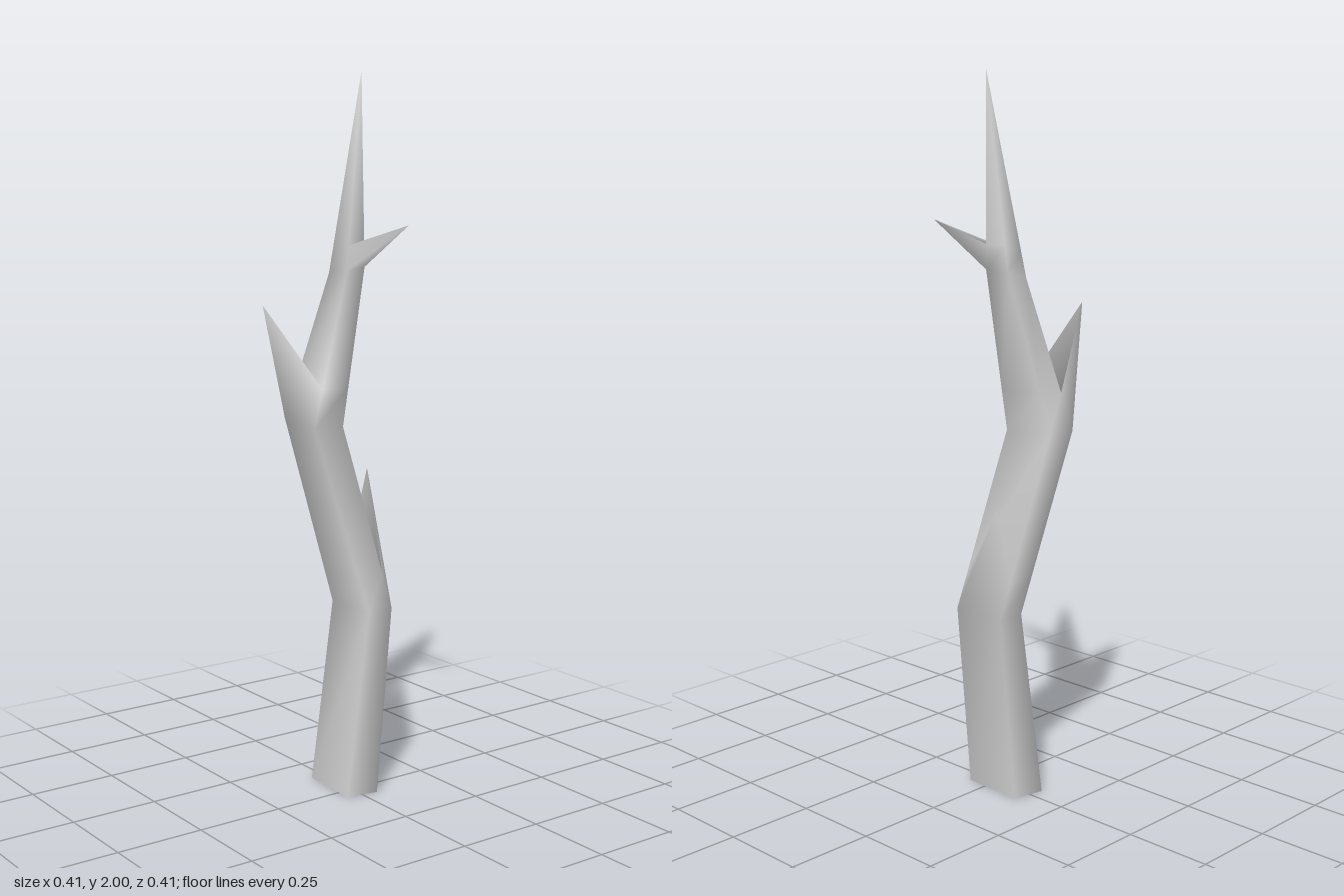
import * as THREE from 'three';

// Four-cornered cross-sections: front-left, front-right, back-right, back-left on the page
const RINGS = [
  [[-0.14, 0, 0.04], [0.042, 0, 0.045], [0.06, 0, -0.045], [-0.12, 0, -0.05]],
  [[-0.105, 0.53, -0.01], [0.065, 0.53, -0.012], [0.06, 0.53, -0.095], [-0.107, 0.53, -0.095]],
  [[-0.208, 1.05, 0.08], [-0.05, 1.04, 0.088], [-0.04, 1.04, 0], [-0.2, 1.05, 0]],
  [[-0.122, 1.46, -0.012], [-0.035, 1.47, -0.01], [-0.015, 1.48, -0.055], [-0.1, 1.48, -0.06]],
];
const TIP = [0.02, 2, -0.018];

// Each twig grows from one side of the limb just above a bend
const TWIGS = [
  { name: 'backTwig', ring: 1, side: 2, reach: 0.2, tip: [-0.2, 0.88, -0.203] },
  { name: 'frontTwig', ring: 2, side: 0, reach: 0.25, tip: [-0.13, 1.38, 0.203] },
  { name: 'sideTwig', ring: 3, side: 1, reach: 0.13, tip: [0.203, 1.6, -0.038] },
];

const lerp = (a, b, t) => a.map((v, i) => v + (b[i] - v) * t);

export function createModel() {
  const group = new THREE.Group();
  group.name = 'branch';
  const material = new THREE.MeshStandardMaterial({ color: 0xcccccc, side: THREE.DoubleSide });
  const points = [];
  const add = (p) => points.push(p) - 1;

  // Insert an extra section at the top of each twig's root
  const sections = [];
  RINGS.forEach((ring, i) => {
    const twig = TWIGS.find((t) => t.ring === i);
    sections.push({ ids: ring.map(add), twig });
    if (twig) {
      const upper = ring.map((p, k) => lerp(p, RINGS[i + 1] ? RINGS[i + 1][k] : TIP, twig.reach));
      sections.push({ ids: upper.map(add) });
    }
  });

  // Limb sides, with a pyramid in place of the quad where a twig grows
  const limb = [];
  const parts = [['limb', limb]];
  for (let s = 0; s < sections.length - 1; s++) {
    const { ids: low, twig } = sections[s];
    const high = sections[s + 1].ids;
    for (let k = 0; k < 4; k++) {
      const n = (k + 1) % 4;
      const quad = [low[k], low[n], high[n], high[k]];
      if (twig && twig.side === k) {
        const apex = add(twig.tip);
        parts.push([twig.name, quad.flatMap((p, i) => [p, quad[(i + 1) % 4], apex])]);
      } else {
        limb.push(quad[0], quad[1], quad[2], quad[0], quad[2], quad[3]);
      }
    }
  }

  // Pointed top
  const last = sections[sections.length - 1].ids;
  const apex = add(TIP);
  last.forEach((p, k) => limb.push(p, last[(k + 1) % 4], apex));

  // Smooth normals shared by the limb and its twigs
  const whole = new THREE.BufferGeometry();
  whole.setAttribute('position', new THREE.Float32BufferAttribute(points.flat(), 3));
  whole.setIndex(parts.flatMap(([, index]) => index));
  whole.computeVertexNormals();
  for (const [name, index] of parts) {
    const geometry = new THREE.BufferGeometry();
    geometry.setAttribute('position', whole.attributes.position);
    geometry.setAttribute('normal', whole.attributes.normal);
    geometry.setIndex(index);
    const mesh = new THREE.Mesh(geometry, material);
    mesh.name = name;
    group.add(mesh);
  }

  // Flat cut end underneath
  const cut = new THREE.BufferGeometry();
  cut.setAttribute('position', new THREE.Float32BufferAttribute(RINGS[0].flat(), 3));
  cut.setIndex([0, 2, 1, 0, 3, 2]);
  cut.computeVertexNormals();
  const cutEnd = new THREE.Mesh(cut, material);
  cutEnd.name = 'cutEnd';
  group.add(cutEnd);

  return group;
}
